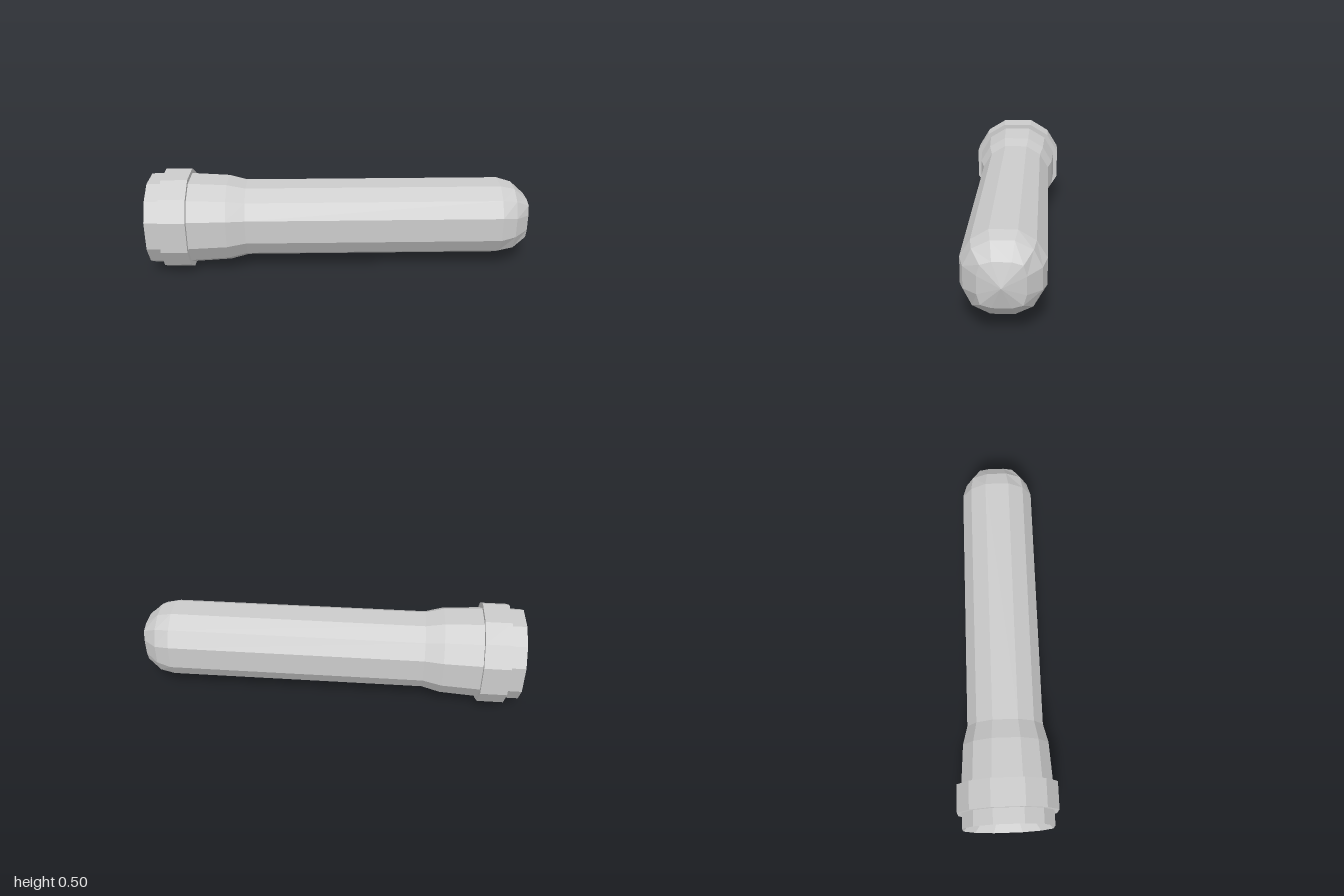
import * as THREE from 'three';

// Twelve-point ring in the y/z plane: h = half height, c = corner, e = half width of the flat side
function ring(h, c = 0.747 * h, e = 0.33 * h) {
  const quarter = [[h, -e], [h, e], [c, c]];
  const pts = [];
  for (let q = 0; q < 4; q++) {
    for (const [y, z] of quarter) {
      let p = [y, z];
      for (let k = 0; k < q; k++) p = [-p[1], p[0]];
      pts.push(p);
    }
  }
  return pts;
}

// Skin a list of [x, h, c, e] stations along the x axis with flat facets
function loft(name, stations, material) {
  const axisY = 0.2475;
  const rings = stations.map(([x, h, c, e]) =>
    ring(h, c, e).map(([y, z]) => [x, y + axisY, z]));
  const pos = [];
  for (let i = 0; i < rings.length - 1; i++) {
    for (let j = 0; j < 12; j++) {
      const k = (j + 1) % 12;
      const a = rings[i][j], b = rings[i][k], c = rings[i + 1][k], d = rings[i + 1][j];
      if (stations[i][1] > 0) pos.push(...a, ...b, ...d);
      if (stations[i + 1][1] > 0) pos.push(...b, ...c, ...d);
    }
  }
  const geo = new THREE.BufferGeometry();
  geo.setAttribute('position', new THREE.Float32BufferAttribute(pos, 3));
  geo.computeVertexNormals();
  const mesh = new THREE.Mesh(geo, material);
  mesh.name = name;
  return mesh;
}

export function createModel() {
  const group = new THREE.Group();
  group.name = 'roundedTube';
  const grey = new THREE.MeshStandardMaterial({ color: 0xcccccc, flatShading: true });

  // Recessed end, flared head, straight shaft
  group.add(loft('shaft', [
    [-0.92, 0], [-0.92, 0.15], [-1, 0.224],
    [-0.79, 0.224], [-0.595, 0.213], [-0.5, 0.19], [0.82, 0.19],
  ], grey));

  // Domed tip
  group.add(loft('domeTip', [
    [0.82, 0.19], [0.895, 0.17, 0.131, 0.052], [0.968, 0.105, 0.091, 0.042], [1, 0],
  ], grey));

  // Raised band around the head
  group.add(loft('collar', [
    [-0.925, 0.222], [-0.925, 0.2475], [-0.79, 0.2475], [-0.79, 0.222],
  ], grey));

  return group;
}
